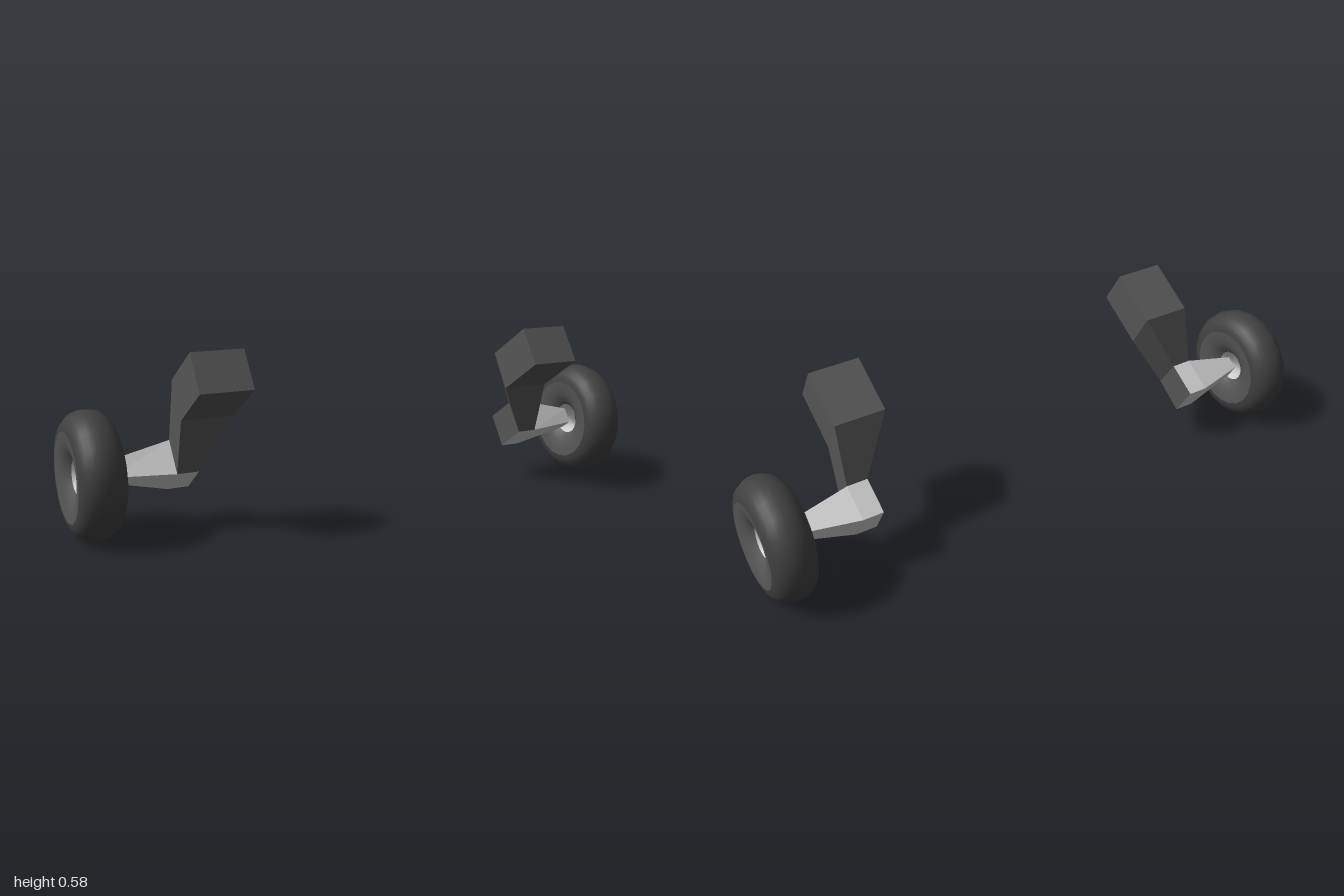
import * as THREE from 'three';

const light = new THREE.MeshStandardMaterial({ color: 0xcccccc, flatShading: true });
const hubMat = new THREE.MeshStandardMaterial({ color: 0xcccccc });
const dark = new THREE.MeshStandardMaterial({ color: 0x555555, flatShading: true });
const rimMat = new THREE.MeshStandardMaterial({ color: 0x555555 });
const rubber = new THREE.MeshStandardMaterial({ color: 0x404040 });

// Flat quads from corner loops; side -1 mirrors in x and flips the winding
function quads(list, side) {
  const pos = [];
  for (const q of list) {
    const [a, b, c, d] = side < 0 ? [...q].reverse() : q;
    for (const p of [a, b, c, a, c, d]) pos.push(p[0] * side, p[1], p[2]);
  }
  const geo = new THREE.BufferGeometry();
  geo.setAttribute('position', new THREE.Float32BufferAttribute(pos, 3));
  geo.computeVertexNormals();
  return geo;
}

// Side walls through four-cornered rings
function walls(rings) {
  const out = [];
  for (let k = 0; k + 1 < rings.length; k++) {
    for (let i = 0; i < 4; i++) {
      const j = (i + 1) % 4;
      out.push([rings[k][i], rings[k + 1][i], rings[k + 1][j], rings[k][j]]);
    }
  }
  return out;
}
const caps = (rings) => [rings[0], [...rings[rings.length - 1]].reverse()];

function named(name, geo, mat) {
  const mesh = new THREE.Mesh(geo, mat);
  mesh.name = name;
  return mesh;
}

function lathe(points) {
  const geo = new THREE.LatheGeometry(points.map(([r, x]) => new THREE.Vector2(r, x)), 20);
  return geo.rotateZ(-Math.PI / 2);
}

function wheel() {
  const g = new THREE.Group();
  g.name = 'wheel';
  const tread = [];
  for (let i = 0; i <= 12; i++) {
    const a = (i / 12) * Math.PI;
    tread.push([0.14 + 0.061 * Math.sin(a), -0.072 * Math.cos(a)]);
  }
  g.add(named('tyre', lathe(tread), rubber));
  // Dished rim on both faces
  const dish = [[0.14, 0.072], [0.115, 0.07], [0.09, 0.064], [0.07, 0.055], [0.054, 0.042]];
  g.add(named('outerRim', lathe(dish), rimMat));
  g.add(named('innerRim', lathe(dish.map(([r, x]) => [r, -x]).reverse()), rimMat));
  // Open hub with a narrowed throat
  g.add(named('hub', lathe([[0.054, 0.042], [0.043, 0.025], [0.037, 0], [0.043, -0.025], [0.054, -0.042]]), hubMat));
  return g;
}

function landingGear(side) {
  const g = new THREE.Group();
  g.name = side > 0 ? 'leftGear' : 'rightGear';

  // Bent leg: inner x, outer x, then y and z of the rear and front edges
  const leg = [
    [0.51, 0.68, 0.583, 0.173, 0.47, 0.245],
    [0.51, 0.68, 0.48, 0.01, 0.365, 0.08],
    [0.61, 0.68, 0.285, -0.035, 0.19, 0.03],
  ].map(([xi, xo, yr, zr, yf, zf]) => [[xo, yr, zr], [xi, yr, zr], [xi, yf, zf], [xo, yf, zf]]);
  g.add(named('leg', quads([...walls(leg), ...caps(leg)], side), dark));

  // Axle block tapering into the hub
  const big = [[0.285, -0.035], [0.22, -0.135], [0.12, -0.07], [0.19, 0.03]];
  const small = [[0.239, -0.04], [0.214, -0.078], [0.168, -0.05], [0.193, -0.012]];
  const at = (x, ring) => ring.map(([y, z]) => [x, y, z]);
  const axle = [at(0.61, big), at(0.68, big), at(0.875, small)];
  g.add(named('axle', quads(walls(axle), side), light));
  g.add(named('axleEnds', quads(caps(axle), side), dark));

  const w = wheel();
  w.position.set(0.928 * side, 0.201, -0.043);
  g.add(w);
  return g;
}

export function createModel() {
  const model = new THREE.Group();
  model.name = 'landingGearPair';
  for (const side of [1, -1]) model.add(landingGear(side));
  return model;
}
